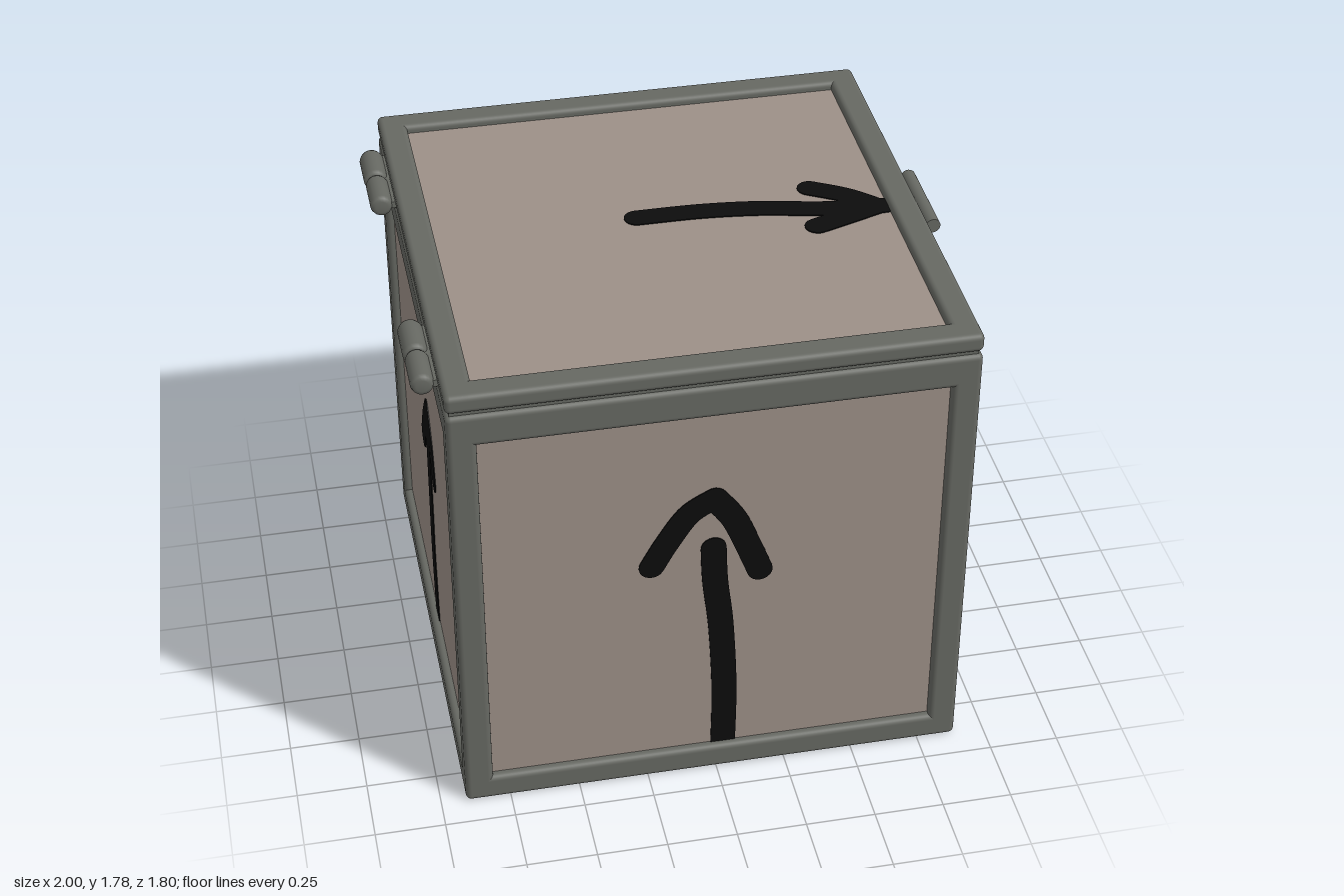
import * as THREE from 'three';
import { RoundedBoxGeometry } from 'three/addons/geometries/RoundedBoxGeometry.js';

const metal = new THREE.MeshStandardMaterial({ color: 0x666862 });
metal.name = 'grey metal';
const board = new THREE.MeshStandardMaterial({ color: 0x9c8f87 });
board.name = 'taupe board';
const paint = new THREE.MeshStandardMaterial({ color: 0x0c0c0c });
paint.name = 'black paint';

const CX = -0.01;      // box centre in x
const H = 0.9;         // half width
const BAR = 0.1;       // frame bar width
const RECESS = 0.03;   // panel depth below the frame
const SEAM = 1.7, LID = 1.712, TOP = 1.78;

function add(parent, name, geometry, material, x = 0, y = 0, z = 0) {
  const mesh = new THREE.Mesh(geometry, material);
  mesh.name = name;
  mesh.position.set(x, y, z);
  parent.add(mesh);
  return mesh;
}

// Soft-edged bar given by its size and centre
function bar(parent, name, w, h, d, x, y, z) {
  return add(parent, name, new RoundedBoxGeometry(w, h, d, 3, 0.02), metal, x, y, z);
}

// Square ring of four bars between two heights
function ring(parent, name, y0, y1) {
  const h = y1 - y0, y = (y0 + y1) / 2, o = H - BAR / 2;
  for (const s of [-1, 1]) {
    bar(parent, name, 2 * H, h, BAR, CX, y, s * o);
    bar(parent, name, BAR, h, 2 * H, CX + s * o, y, 0);
  }
}

// Thin round-ended brush stroke along a smooth path
function stroke(points, width) {
  const curve = new THREE.SplineCurve(points.map(([x, y]) => new THREE.Vector2(x, y)));
  const r = width / 2, n = 20, left = [], right = [];
  for (let i = 0; i <= n; i++) {
    const p = curve.getPoint(i / n), t = curve.getTangent(i / n);
    left.push(new THREE.Vector2(p.x - t.y * r, p.y + t.x * r));
    right.unshift(new THREE.Vector2(p.x + t.y * r, p.y - t.x * r));
  }
  const cap = (t) => {
    const p = curve.getPoint(t), d = curve.getTangent(t).multiplyScalar(t ? 1 : -1);
    const a = Math.atan2(d.y, d.x) + Math.PI / 2;
    return Array.from({ length: 9 }, (_, i) => {
      const b = a - (i + 1) * Math.PI / 10;
      return new THREE.Vector2(p.x + Math.cos(b) * r, p.y + Math.sin(b) * r);
    });
  };
  const shape = new THREE.Shape([...left, ...cap(1), ...right, ...cap(0)]);
  return new THREE.ExtrudeGeometry(shape, { depth: 0.006, bevelEnabled: false });
}

// Painted arrow: a shaft and two head strokes
function arrow(parent, name, strokes, flip) {
  const g = new THREE.Group();
  g.name = name;
  for (const s of strokes) {
    add(g, 'arrowStroke', stroke(s.map(([u, v]) => [u * flip, v]), 0.09), paint, 0, 0, -0.002);
  }
  parent.add(g);
  return g;
}

const frontArrow = [
  [[0.027, 0.06], [0.03, 0.35], [0.015, 0.65], [-0.007, 0.85], [-0.014, 1.0]],
  [[-0.23, 0.95], [-0.175, 1.05], [-0.1, 1.16], [-0.012, 1.215]],
  [[0.15, 0.88], [0.105, 1.0], [0.055, 1.12], [-0.012, 1.215]],
];
const sideArrow = [
  [[0.022, 0.06], [0.04, 0.38], [0.02, 0.62], [0.003, 0.82], [-0.01, 0.99]],
  [[-0.125, 0.855], [-0.087, 1.0], [-0.027, 1.095]],
  [[0.14, 0.865], [0.068, 0.98], [-0.027, 1.095]],
];
const topArrow = [
  [[-0.095, 0.07], [0.135, 0.068], [0.35, 0.045], [0.56, 0], [0.775, -0.022]],
  [[0.545, 0.14], [0.66, 0.07], [0.755, -0.02]],
  [[0.515, -0.105], [0.645, -0.06], [0.755, -0.02]],
];

// Hinge of two knuckles and a short leaf
function hinge(parent, z) {
  const g = new THREE.Group();
  g.name = 'hinge';
  g.position.set(-0.957, 1.71, z);
  for (const [s, r] of [[-1, 0.043], [1, 0.04]]) {
    const e = 0.018, l = 0.168;
    const profile = [[0, 0], [r - e, 0], [r - 0.005, 0.005], [r, e], [r, l - e],
      [r - 0.005, l - 0.005], [r - e, l], [0, l]];
    const geo = new THREE.LatheGeometry(profile.map(([x, y]) => new THREE.Vector2(x, y)), 20);
    add(g, 'hingeKnuckle', geo, metal, 0, 0, s < 0 ? -0.17 : 0.002).rotation.x = Math.PI / 2;
  }
  add(g, 'hingeLeaf', new THREE.BoxGeometry(0.08, 0.025, 0.32), metal, 0.03, 0, 0);
  parent.add(g);
}

// Latch: pivot rod, slotted hanging plate and staple
function latch(parent) {
  const g = new THREE.Group();
  g.name = 'latch';
  const rod = new THREE.CylinderGeometry(0.027, 0.027, 0.335, 20);
  add(g, 'latchRod', rod, metal, 0.916, 1.74, 0).rotation.x = Math.PI / 2;
  const half = [[0.125, 1.735], [0.102, 1.715], [0.095, 1.69], [0.095, 1.42],
    [0.085, 1.385], [0.05, 1.35], [0.015, 1.332]];
  const outline = [...half, ...half.map(([u, v]) => [-u, v]).reverse()];
  const shape = new THREE.Shape(outline.map(([u, v]) => new THREE.Vector2(u, v)));
  const slot = new THREE.Path();
  slot.absarc(0, 1.465, 0.024, 0, Math.PI, false);
  slot.absarc(0, 1.39, 0.024, Math.PI, 2 * Math.PI, false);
  shape.holes.push(slot);
  const plate = new THREE.ExtrudeGeometry(shape, {
    depth: 0.012, bevelThickness: 0.004, bevelSize: 0.004, bevelOffset: -0.004, bevelSegments: 2,
  });
  add(g, 'latchPlate', plate, metal, 0.91, 0, 0).rotation.y = Math.PI / 2;
  const path = [[0.86, 1.465], [0.94, 1.465], [0.972, 1.457], [0.988, 1.428],
    [0.972, 1.398], [0.94, 1.39], [0.86, 1.39]];
  const loop = new THREE.CatmullRomCurve3(path.map(([x, y]) => new THREE.Vector3(x, y, 0)));
  add(g, 'latchStaple', new THREE.TubeGeometry(loop, 32, 0.011, 10), metal);
  parent.add(g);
}

export function createModel() {
  const model = new THREE.Group();
  model.name = 'crate';

  // Inset panels and solid floor
  const inner = 2 * (H - RECESS), coreTop = TOP - RECESS;
  add(model, 'panels', new THREE.BoxGeometry(inner, coreTop - 0.03, inner), board,
    CX, (coreTop + 0.03) / 2, 0);
  bar(model, 'floor', 2 * H, 0.06, 2 * H, CX, 0.03, 0);

  // Frame: base, posts, upper rails, lid rim and the seam between
  ring(model, 'baseRail', 0, 0.1);
  ring(model, 'upperRail', 1.575, SEAM);
  ring(model, 'lidRim', LID, TOP);
  const o = H - BAR / 2;
  for (const sx of [-1, 1]) {
    for (const sz of [-1, 1]) bar(model, 'cornerPost', BAR, SEAM, BAR, CX + sx * o, SEAM / 2, sz * o);
  }
  add(model, 'lidSeam', new THREE.BoxGeometry(2 * H - 0.03, 0.05, 2 * H - 0.03), metal, CX, 1.706, 0);

  // Painted arrows, opposite walls mirrored
  const d = H - RECESS;
  arrow(model, 'frontArrow', frontArrow, 1).position.z = d;
  const back = arrow(model, 'backArrow', frontArrow, -1);
  back.rotation.y = Math.PI;
  back.position.z = -d;
  const right = arrow(model, 'latchSideArrow', sideArrow, 1);
  right.rotation.y = Math.PI / 2;
  right.position.x = CX + d;
  const left = arrow(model, 'hingeSideArrow', sideArrow, -1);
  left.rotation.y = -Math.PI / 2;
  left.position.x = CX - d;
  const top = arrow(model, 'lidArrow', topArrow, 1);
  top.rotation.x = -Math.PI / 2;
  top.position.y = coreTop;

  // Hardware
  for (const z of [-0.55, 0.55]) hinge(model, z);
  latch(model);
  return model;
}
